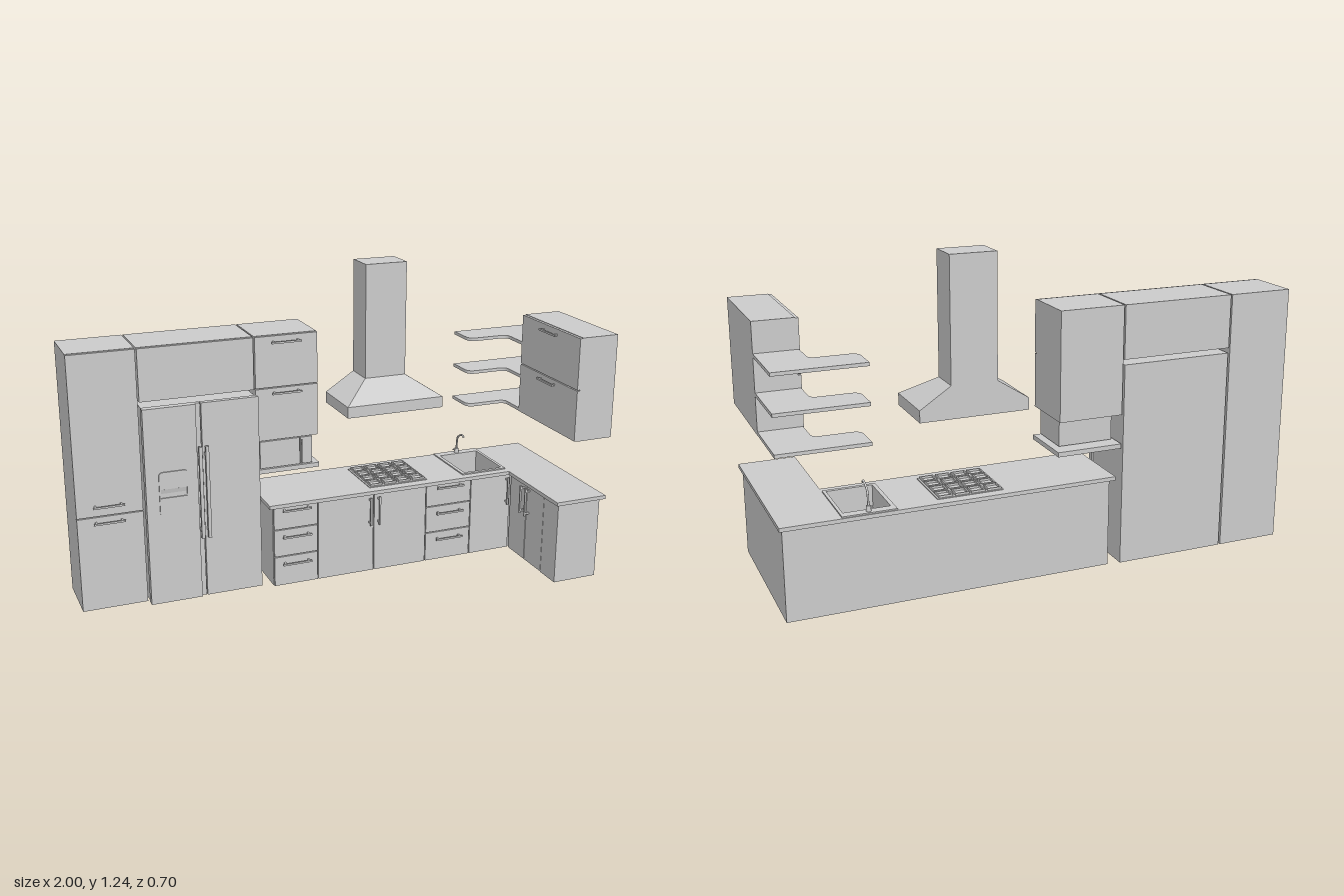
import * as THREE from 'three';

const grey = new THREE.MeshStandardMaterial({ color: 0xcccccc });

export function createModel() {
  const root = new THREE.Group();
  root.name = 'kitchen';

  const group = (name) => {
    const g = new THREE.Group();
    g.name = name;
    root.add(g);
    return g;
  };
  const mesh = (parent, name, geometry) => {
    const m = new THREE.Mesh(geometry, grey);
    m.name = name;
    parent.add(m);
    return m;
  };
  // box from its min and max on each axis
  const box = (parent, name, x0, x1, y0, y1, z0, z1) => {
    const m = mesh(parent, name, new THREE.BoxGeometry(x1 - x0, y1 - y0, z1 - z0));
    m.position.set((x0 + x1) / 2, (y0 + y1) / 2, (z0 + z1) / 2);
    return m;
  };
  // horizontal slab from a plan outline in (x, z)
  const slab = (parent, name, shape, y0, y1) => {
    const geo = new THREE.ExtrudeGeometry(shape, { depth: y1 - y0, bevelEnabled: false, curveSegments: 8 });
    geo.rotateX(Math.PI / 2).translate(0, y1, 0);
    return mesh(parent, name, geo);
  };
  const outline = (points, hole) => {
    const s = new THREE.Shape(points.map((p) => new THREE.Vector2(...p)));
    if (hole) s.holes.push(new THREE.Path(hole.map((p) => new THREE.Vector2(...p))));
    return s;
  };
  const rect = (x0, x1, z0, z1) => [[x0, z0], [x1, z0], [x1, z1], [x0, z1]];

  // bar pull on two posts, facing +z; turned to face -x when side is set
  const handle = (parent, x, y, z, { length = 0.12, vertical = false, side = false, reach = 0.022, thick = 0.007 } = {}) => {
    const g = new THREE.Group();
    g.name = 'handle';
    const bar = new THREE.Group();
    const h = length / 2;
    box(bar, 'bar', -h, h, -thick / 2, thick / 2, reach - thick, reach);
    for (const s of [-1, 1]) {
      const c = s * h * 0.82;
      box(bar, 'post', c - thick / 2, c + thick / 2, -thick / 2, thick / 2, 0, reach - thick);
    }
    if (vertical) bar.rotation.z = Math.PI / 2;
    if (side) g.rotation.y = -Math.PI / 2;
    g.add(bar);
    g.position.set(x, y, z);
    parent.add(g);
  };

  const GAP = 0.002;
  const back = -0.35, front = -0.125;
  // cabinet with stacked doors split at the given heights
  const cabinet = (name, x0, x1, ys) => {
    const g = group(name);
    box(g, 'carcass', x0, x1, ys[0], ys[ys.length - 1], back, front - 0.012);
    for (let i = 0; i + 1 < ys.length; i++) {
      box(g, 'door', x0, x1, ys[i] + (i ? GAP : 0), ys[i + 1] - GAP, front - 0.012, front);
    }
    return g;
  };

  // tall units and wall units on the left
  const larder = cabinet('tallCabinet', -1, -0.748, [0, 0.378, 1.01]);
  for (const y of [0.355, 0.42]) handle(larder, -0.88, y, front);
  cabinet('fridgeTopCabinet', -0.742, -0.298, [0.805, 1.01]);
  const wall = cabinet('wallCabinet', -0.292, -0.04, [0.595, 0.805, 1.01]);
  for (const y of [0.785, 0.985]) handle(wall, -0.17, y, front);

  // fridge
  const fridge = group('fridge');
  box(fridge, 'body', -0.74, -0.3, 0, 0.785, back, -0.107);
  box(fridge, 'leftDoor', -0.745, -0.543, 0.005, 0.79, -0.105, -0.075);
  box(fridge, 'rightDoor', -0.52, -0.295, 0.005, 0.79, -0.105, -0.083);
  box(fridge, 'doorEdge', -0.543, -0.523, 0.005, 0.79, -0.105, -0.087);
  for (const x of [-0.534, -0.508]) {
    handle(fridge, x, 0.44, -0.087, { length: 0.37, vertical: true, reach: 0.03, thick: 0.013 });
  }
  // ice and water dispenser
  const panel = new THREE.Shape();
  const px0 = -0.695, px1 = -0.583, py0 = 0.365, py1 = 0.54, r = 0.015;
  panel.absarc(px1 - r, py0 + r, r, -Math.PI / 2, 0);
  panel.absarc(px1 - r, py1 - r, r, 0, Math.PI / 2);
  panel.absarc(px0 + r, py1 - r, r, Math.PI / 2, Math.PI);
  panel.absarc(px0 + r, py0 + r, r, Math.PI, Math.PI * 1.5);
  panel.holes.push(new THREE.Path(rect(-0.69, -0.588, 0.437, 0.472).map((p) => new THREE.Vector2(...p))));
  mesh(fridge, 'dispenser', new THREE.ExtrudeGeometry(panel, { depth: 0.006, bevelEnabled: false, curveSegments: 6 }))
    .position.z = -0.076;
  const lip = box(fridge, 'dispenserLip', -0.69, -0.588, 0.437, 0.472, -0.078, -0.075);
  lip.rotation.x = 0.2;

  // microwave on its shelf
  const micro = group('microwave');
  box(micro, 'shelf', -0.295, -0.037, 0.462, 0.48, -0.345, -0.118);
  box(micro, 'body', -0.28, -0.065, 0.483, 0.592, -0.29, -0.132);
  box(micro, 'door', -0.28, -0.117, 0.483, 0.592, -0.132, -0.122);
  box(micro, 'controlPanel', -0.114, -0.065, 0.483, 0.592, -0.132, -0.122);
  handle(micro, -0.112, 0.538, -0.122, { length: 0.095, vertical: true, reach: 0.014, thick: 0.005 });

  // L-shaped base units, hollowed for the sink bowl
  const base = group('baseCabinets');
  const bowl = rect(0.595, 0.768, -0.31, -0.088);
  const baseL = [[-0.25, -0.343], [0.99, -0.343], [0.99, 0.317], [0.815, 0.317], [0.815, -0.075], [-0.25, -0.075]];
  slab(base, 'lowerCarcass', outline(baseL), 0, 0.26);
  slab(base, 'upperCarcass', outline(baseL, bowl), 0.26, 0.34);
  const topL = [[-0.272, -0.35], [1, -0.35], [1, 0.343], [0.78, 0.343], [0.78, -0.04], [-0.272, -0.04]];
  slab(base, 'countertop', outline(topL, bowl), 0.34, 0.355);

  // drawer stacks and doors along the back run
  const bz = -0.063;
  const face = (name, x0, x1, y0, y1) => box(base, name, x0 + GAP, x1 - GAP, y0 + GAP, y1 - GAP, -0.075, bz);
  for (const [x0, x1, hx] of [[-0.25, -0.065, -0.157], [0.41, 0.615, 0.513]]) {
    for (const [y0, y1, hy] of [[0, 0.125, 0.095], [0.125, 0.24, 0.21], [0.24, 0.34, 0.322]]) {
      face('drawer', x0, x1, y0, y1);
      handle(base, hx, hy, bz);
    }
  }
  for (const [x0, x1, hx] of [[-0.065, 0.177, 0.158], [0.177, 0.41, 0.196], [0.615, 0.802, 0.782]]) {
    face('door', x0, x1, 0, 0.34);
    handle(base, hx, 0.265, bz, { vertical: true });
  }
  // peninsula doors on the inner side
  for (const [z0, z1, hz] of [[-0.06, 0.075, 0.055], [0.075, 0.21, 0.095]]) {
    box(base, 'door', 0.802, 0.815, GAP, 0.338, z0 + GAP, z1 - GAP);
    handle(base, 0.802, 0.265, hz, { vertical: true, side: true });
  }
  box(base, 'endPanel', 0.802, 0.815, 0, 0.34, 0.21, 0.317);

  // sink rim and tap
  const sink = group('sink');
  slab(sink, 'rim', outline(rect(0.58, 0.78, -0.345, -0.073), bowl), 0.355, 0.36);
  const tap = new THREE.CatmullRomCurve3([[0.36, -0.326], [0.4, -0.324], [0.43, -0.318], [0.447, -0.295], [0.453, -0.27], [0.445, -0.262]]
    .map(([y, z]) => new THREE.Vector3(0.68, y, z)));
  mesh(sink, 'tap', new THREE.TubeGeometry(tap, 20, 0.004, 8));
  mesh(sink, 'tapBase', new THREE.CylinderGeometry(0.008, 0.01, 0.02, 12)).position.set(0.68, 0.37, -0.326);
  box(sink, 'tapLever', 0.664, 0.68, 0.372, 0.377, -0.329, -0.323);

  // gas hob with pan grates in a four by four grid
  const hob = group('hob');
  box(hob, 'plate', 0.165, 0.42, 0.355, 0.358, -0.31, -0.08);
  for (let i = 0; i < 4; i++) {
    for (let j = 0; j < 4; j++) {
      const cx = 0.199 + i * 0.0625, cz = -0.281 + j * 0.056;
      const w = 0.027, d = 0.024, t = 0.005;
      slab(hob, 'grate', outline(rect(cx - w, cx + w, cz - d, cz + d),
        rect(cx - w + t, cx + w - t, cz - d + t, cz + d - t)), 0.358, 0.366);
    }
  }
  for (const x of [0.23, 0.355]) for (const z of [-0.253, -0.141]) {
    mesh(hob, 'burner', new THREE.CylinderGeometry(0.016, 0.018, 0.005, 16)).position.set(x, 0.3605, z);
  }

  // extractor hood: canopy, sloped throat and chimney
  const hood = group('hood');
  box(hood, 'canopy', 0.075, 0.487, 0.655, 0.7, -0.33, -0.092);
  const throat = new THREE.BoxGeometry(1, 1, 1);
  const p = throat.attributes.position;
  for (let i = 0; i < p.count; i++) {
    const top = p.getY(i) > 0, right = p.getX(i) > 0, fore = p.getZ(i) > 0;
    p.setXYZ(i, top ? (right ? 0.37 : 0.195) : (right ? 0.487 : 0.075), top ? 0.777 : 0.7,
      fore ? (top ? -0.203 : -0.092) : -0.33);
  }
  throat.computeVertexNormals();
  mesh(hood, 'throat', throat);
  box(hood, 'chimney', 0.195, 0.37, 0.777, 1.237, -0.33, -0.203);

  // wall unit above the peninsula, opening to the inside
  const side = group('sideCabinet');
  box(side, 'carcass', 0.847, 1, 0.6, 1.01, -0.08, 0.347);
  for (const [y0, y1, hy] of [[0.6, 0.805, 0.785], [0.805, 1.01, 0.985]]) {
    box(side, 'door', 0.835, 0.847, y0 + GAP, y1 - GAP, -0.08, 0.347);
    handle(side, 0.835, hy, 0.133, { side: true, reach: 0.018 });
  }

  // open corner shelves with rounded inner and outer corners
  const shelf = new THREE.Shape();
  shelf.moveTo(0.663, -0.343);
  shelf.lineTo(1, -0.343);
  shelf.lineTo(1, -0.08);
  shelf.lineTo(0.838, -0.08);
  shelf.lineTo(0.838, -0.178);
  shelf.quadraticCurveTo(0.838, -0.208, 0.808, -0.208);
  shelf.lineTo(0.698, -0.208);
  shelf.quadraticCurveTo(0.663, -0.208, 0.663, -0.243);
  const shelves = group('cornerShelves');
  for (const y of [0.601, 0.743, 0.883]) slab(shelves, 'shelf', shelf, y, y + 0.013);

  return root;
}
